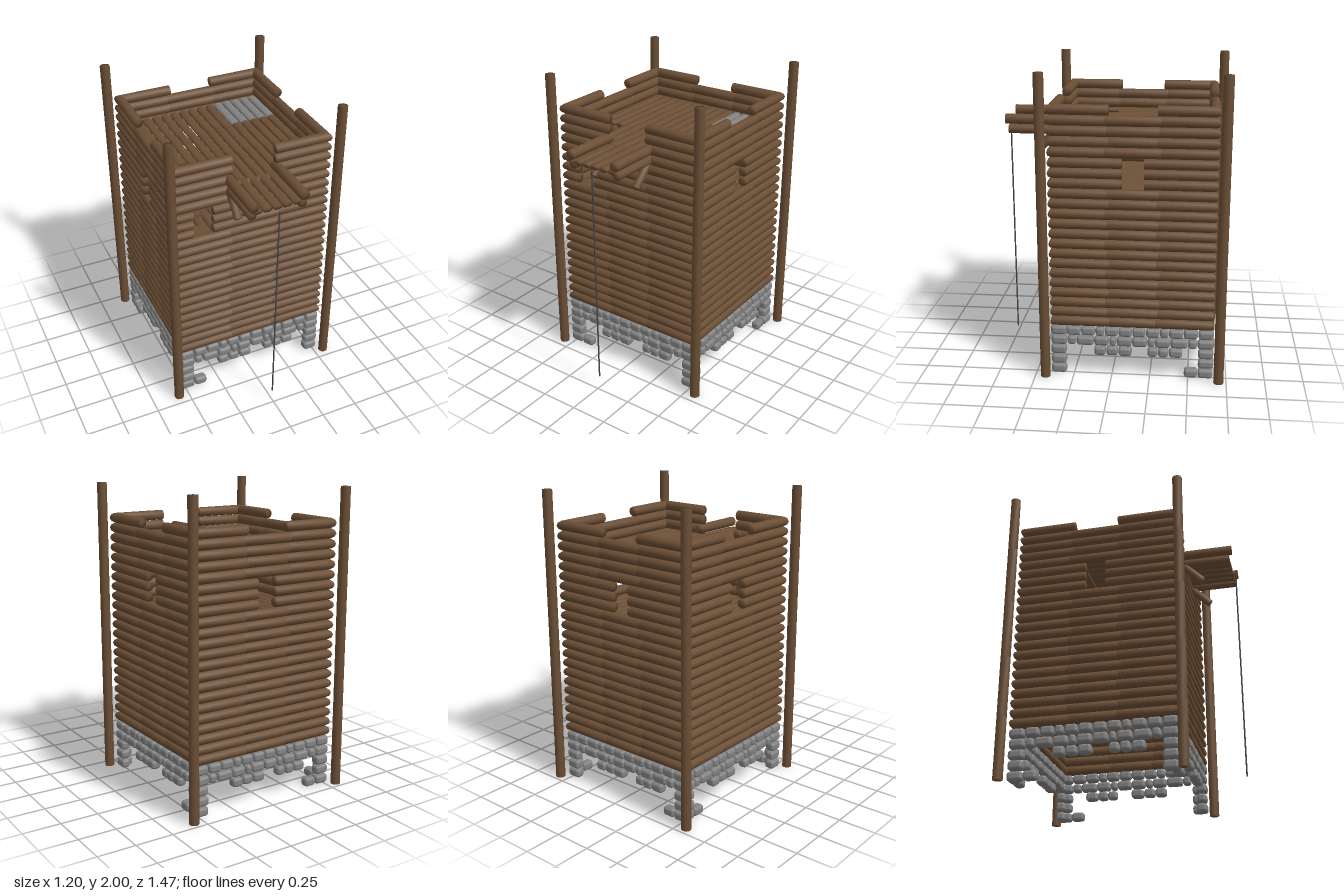
import * as THREE from 'three';
import { mergeVertices, mergeGeometries } from 'three/addons/utils/BufferGeometryUtils.js';
import { RoundedBoxGeometry } from 'three/addons/geometries/RoundedBoxGeometry.js';

const PITCH = 0.0664, BASE = 0.34, ROWS = 22, HALF = 0.5325, MID_Z = -0.1325;

// Log along x with softly shaded ends; mitre flags slant an end for a corner joint
function log(len, r, mitreLeft = false, mitreRight = false) {
  let g = new THREE.CylinderGeometry(r, r, len, 10, 1);
  g.deleteAttribute('normal');
  g.deleteAttribute('uv');
  g = mergeVertices(g, 1e-5);
  g.rotateZ(Math.PI / 2);
  const p = g.attributes.position;
  for (let i = 0; i < p.count; i++) {
    const x = p.getX(i);
    if (x < 0 && mitreLeft) p.setX(i, x + r - p.getZ(i));
    if (x > 0 && mitreRight) p.setX(i, x - r + p.getZ(i));
  }
  g.computeVertexNormals();
  return g;
}

// Log between two points
function logBetween(a, b, r) {
  const va = new THREE.Vector3(...a), vb = new THREE.Vector3(...b);
  const d = vb.clone().sub(va);
  const g = log(d.length(), r);
  g.applyQuaternion(new THREE.Quaternion().setFromUnitVectors(new THREE.Vector3(1, 0, 0), d.normalize()));
  const m = va.add(vb).multiplyScalar(0.5);
  return g.translate(m.x, m.y, m.z);
}

// Flattened floor log running along z
function plank(x, y, z0, z1) {
  return log(z1 - z0, 0.0305).scale(1, 0.55, 1).rotateY(Math.PI / 2).translate(x, y, (z0 + z1) / 2);
}

// Stacked log wall facing +z with a window and an open top
function wallGeometry(window, openFrom) {
  const parts = [];
  for (let row = 0; row < ROWS; row++) {
    const s = 0.15 + (row % 3) * 0.012;
    let spans = [[-HALF, -s], [-s, s], [s, HALF]];
    if (row >= 14 && row <= 16) {
      const cuts = [[-HALF, window[0]], [window[1], HALF]];
      if (window[1] < -s) cuts.splice(1, 1, [window[1], s], [s, HALF]);
      spans = cuts;
    } else if (row >= openFrom) {
      spans = [[-HALF, -0.15], [0.15, HALF]];
    }
    for (const [a, b] of spans) {
      parts.push(log(b - a, PITCH / 2, a === -HALF, b === HALF)
        .translate((a + b) / 2, BASE + (row + 0.5) * PITCH, 0));
    }
  }
  return mergeGeometries(parts);
}

// Ragged stone footing for one wall; side picks the end with the extra ground stone
function footingGeometry(side) {
  const pairs = (list) => list.slice(1).map((b, i) => [list[i], b]);
  const rows = [
    [[-0.53, -0.43], [0.43, 0.53], side < 0 ? [-0.43, -0.34] : [0.34, 0.43]],
    [[-0.53, -0.43], [0.43, 0.53]],
    [[-0.53, -0.43], [-0.25, -0.17], [-0.17, -0.09], [-0.09, 0], [0.1, 0.17], [0.17, 0.24], [0.24, 0.33], [0.43, 0.53]],
    pairs([-0.53, -0.425, -0.365, -0.25, -0.15, -0.1, 0, 0.1, 0.15, 0.25, 0.365, 0.425, 0.53]),
    pairs([-0.53, -0.43, -0.335, -0.24, -0.18, -0.09, 0, 0.09, 0.18, 0.24, 0.335, 0.43, 0.53]),
  ];
  const parts = [];
  rows.forEach((row, i) => row.forEach(([a, b], j) => {
    parts.push(new RoundedBoxGeometry(b - a - 0.004, 0.06, 0.062 + 0.006 * ((i + j) % 2), 2, 0.02)
      .translate((a + b) / 2, 0.034 + i * 0.0685, 0));
  }));
  return mergeGeometries(parts);
}

export function createModel() {
  const model = new THREE.Group();
  const material = (name, color) => {
    const m = new THREE.MeshStandardMaterial({ color });
    m.name = name;
    return m;
  };
  const wood = material('brown wood', 0x6b4e35);
  const stone = material('grey stone', 0x828282);
  const ropeGrey = material('dark rope', 0x43484e);
  const add = (name, geometry, mat, parent = model) => {
    const mesh = new THREE.Mesh(geometry, mat);
    mesh.name = name;
    parent.add(mesh);
    return mesh;
  };

  // Four walls on their footings
  const centred = [-0.07, 0.07];
  const walls = [
    ['front', 0, 0.3675, 0, [-0.41, -0.27], 19, -1],
    ['back', 0, -0.6325, Math.PI, centred, 21, 1],
    ['left', 0.5, MID_Z, Math.PI / 2, centred, 21, 1],
    ['right', -0.5, MID_Z, -Math.PI / 2, centred, 21, -1],
  ];
  for (const [name, x, z, turn, window, openFrom, side] of walls) {
    const wall = new THREE.Group();
    wall.name = name + 'Side';
    wall.position.set(x, 0, z);
    wall.rotation.y = turn;
    add(name + 'Wall', wallGeometry(window, openFrom), wood, wall);
    add(name + 'Footing', footingGeometry(side), stone, wall);
    model.add(wall);
  }

  // Corner posts, each stacked from five lengths
  for (const x of [-0.5675, 0.5675]) {
    for (const z of [-0.7, 0.4325]) {
      const parts = [];
      for (let i = 0; i < 5; i++) parts.push(logBetween([x, i * 0.4, z], [x, (i + 1) * 0.4, z], 0.0325));
      add('cornerPost', mergeGeometries(parts), wood);
    }
  }

  // Floors: three bays of planks over cross beams, the top one with a hatch and a stone patch
  const bays = [[-0.61, -0.3], [-0.3, 0.03], [0.03, 0.37]];
  for (const y of [1.588, 1.19, 0.79]) {
    const isTop = y > 1.5, planks = [], patch = [], beams = [];
    for (let k = -7; k <= 7; k++) {
      bays.forEach(([a, b], bay) => {
        if (isTop && bay === 2 && (k === -6 || k === -5)) return;
        if (!isTop && bay === 0 && (k === -6 || k === -5)) return;
        (isTop && bay === 0 && k >= 3 ? patch : planks).push(plank(k * 0.0665, y, a, b));
      });
    }
    for (const z of [-0.285, 0.045]) beams.push(logBetween([-0.48, y - 0.035, z], [0.48, y - 0.035, z], 0.02));
    add('floorPlanks', mergeGeometries(planks), wood);
    add('floorBeams', mergeGeometries(beams), wood);
    if (patch.length) add('stoneFloorPatch', mergeGeometries(patch), stone);
  }

  // Steps below the hatch
  [[0.08, 1.46], [0.2, 1.33], [0.3, 1.24]].forEach(([z, y]) => {
    add('hatchStep', new THREE.BoxGeometry(0.13, 0.03, 0.1).translate(-0.367, y, z), wood);
  });

  // Hoist platform over the front
  const platform = new THREE.Group();
  platform.name = 'hoistPlatform';
  model.add(platform);
  const boards = [];
  for (let k = -2; k <= 2; k++) boards.push(plank(k * 0.0665, 1.588, 0.36, 0.705));
  add('platformPlanks', mergeGeometries(boards), wood, platform);
  for (const x of [-0.167, 0.167]) {
    add('platformRail', logBetween([x, 1.637, 0.335], [x, 1.637, 0.725], 0.033), wood, platform);
    add('platformBeam', logBetween([x, 1.57, 0.36], [x, 1.57, 0.705], 0.029), wood, platform);
    add('platformStrut', logBetween([x, 1.43, 0.517], [x, 1.565, 0.382], 0.026), wood, platform);
  }
  add('rope', new THREE.CylinderGeometry(0.005, 0.005, 1.48, 8).translate(0, 0.83, 0.728), ropeGrey);

  return model;
}
